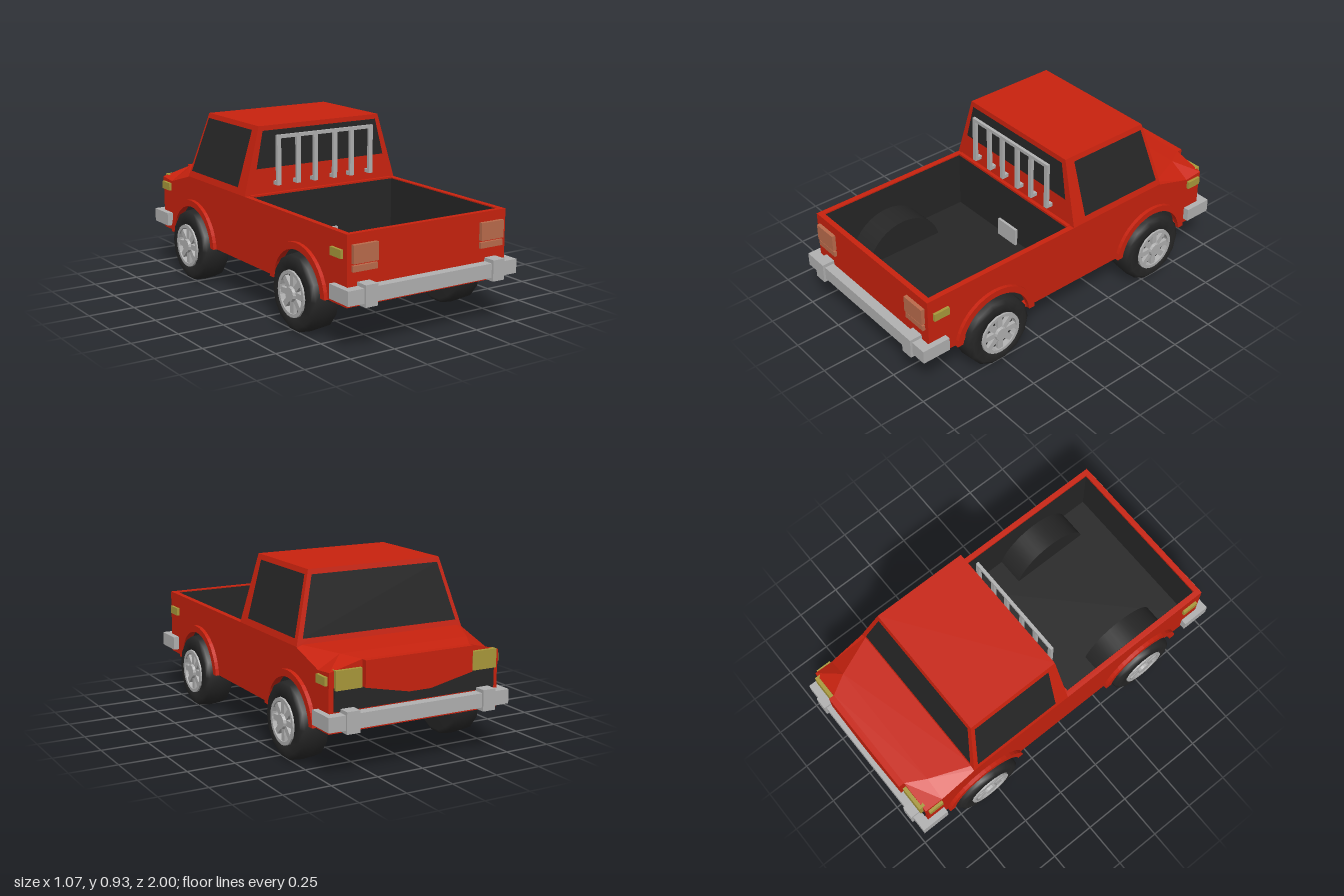
import * as THREE from 'three';

const mat = (color, extra = {}) => new THREE.MeshStandardMaterial({ color, ...extra });
const red = mat(0xc8220e, { flatShading: true });
const dark = mat(0x262626, { side: THREE.DoubleSide });
const rubber = mat(0x262626);
const grey = mat(0xb0b0b0, { flatShading: true });
const amber = mat(0xa8983a);
const tailRed = mat(0xba6b4c);

export function createModel() {
  const truck = new THREE.Group();

  const add = (name, geo, material, parent = truck) => {
    const m = new THREE.Mesh(geo, material);
    m.name = name;
    parent.add(m);
    return m;
  };
  // box given by its min / max on every axis
  const box = (name, x0, x1, y0, y1, z0, z1, material, parent) => {
    const g = new THREE.BoxGeometry(x1 - x0, y1 - y0, z1 - z0);
    g.translate((x0 + x1) / 2, (y0 + y1) / 2, (z0 + z1) / 2);
    return add(name, g, material, parent);
  };
  // closed solid through equal-length rings of [x, y, z]
  const loft = (rings) => {
    const n = rings[0].length, last = (rings.length - 1) * n, idx = [];
    for (let r = 0; r < rings.length - 1; r++)
      for (let i = 0; i < n; i++) {
        const a = r * n + i, b = r * n + (i + 1) % n;
        idx.push(a, b, b + n, a, b + n, a + n);
      }
    for (let i = 1; i < n - 1; i++) idx.push(0, i + 1, i, last, last + i, last + i + 1);
    const g = new THREE.BufferGeometry();
    g.setAttribute('position', new THREE.Float32BufferAttribute(rings.flat(2), 3));
    g.setIndex(idx);
    const flat = g.toNonIndexed();
    flat.computeVertexNormals();
    return flat;
  };
  // flat four-cornered panel
  const quad = (name, corners, material) => {
    const g = new THREE.BufferGeometry();
    g.setAttribute('position', new THREE.Float32BufferAttribute(corners.flat(), 3));
    g.setIndex([0, 1, 2, 0, 2, 3]);
    g.computeVertexNormals();
    return add(name, g, material);
  };
  // shape drawn in (z, y), extruded along x from x0
  const sideExtrude = (name, shape, x0, depth) => {
    const g = new THREE.ExtrudeGeometry(shape, { depth, bevelEnabled: false, curveSegments: 10 });
    g.rotateY(-Math.PI / 2); // shape x -> z, depth -> -x
    g.translate(x0 + depth, 0, 0);
    return add(name, g, red);
  };

  const AXLES = [0.525, -0.56], WY = 0.2, SILL = 0.225;
  const dip = Math.asin((SILL - WY) / 0.225);

  // body sides with wheel arches, and fender lips
  const side = new THREE.Shape();
  side.moveTo(0.93, SILL);
  side.lineTo(0.93, 0.575);
  side.lineTo(-0.62, 0.575);
  side.lineTo(-0.62, 0.45);
  side.lineTo(-0.93, 0.45);
  side.lineTo(-0.93, SILL);
  for (const z of [...AXLES].reverse()) side.absarc(z, WY, 0.225, Math.PI - dip, dip, true);
  side.closePath();
  for (const s of [-1, 1]) {
    sideExtrude('bodySide', side, s > 0 ? 0.445 : -0.475, 0.03);
    for (const z of AXLES) {
      const lip = new THREE.Shape();
      lip.absarc(z, WY, 0.25, 0.1, Math.PI - 0.1, false);
      lip.absarc(z, WY, 0.215, Math.PI - 0.115, 0.115, true);
      lip.closePath();
      sideExtrude('fenderLip', lip, s > 0 ? 0.465 : -0.495, 0.03);

      // wheel housing
      const well = new THREE.CylinderGeometry(0.235, 0.235, 0.155, 20, 1, false, 0, Math.PI);
      well.rotateZ(Math.PI / 2);
      well.translate(s * 0.368, WY, z);
      add('wheelHousing', well, dark);
    }
  }
  box('underbody', -0.474, 0.474, SILL, 0.25, -0.93, 0.93, red);
  box('tailgate', -0.475, 0.475, SILL, 0.575, 0.9, 0.93, red);
  box('frontPanel', -0.475, 0.475, SILL, 0.45, -0.93, -0.9, red);
  box('bulkhead', -0.445, 0.445, 0.25, 0.579, -0.02, 0.02, red);

  // bed lining
  const bx = 0.443, by0 = 0.255, by1 = 0.57, bz0 = 0.023, bz1 = 0.897;
  quad('bedFloor', [[-bx, by0, bz1], [bx, by0, bz1], [bx, by0, bz0], [-bx, by0, bz0]], dark);
  for (const z of [bz0, bz1])
    quad('bedEndLining', [[-bx, by0, z], [bx, by0, z], [bx, by1, z], [-bx, by1, z]], dark);
  for (const x of [-bx, bx])
    quad('bedSideLining', [[x, by0, bz0], [x, by0, bz1], [x, by1, bz1], [x, by1, bz0]], dark);
  box('bedPlate', -0.075, 0.07, 0.255, 0.355, 0.035, 0.05, grey);

  // cab
  const ring = (y, x, z0, z1) => [[-x, y, z1], [x, y, z1], [x, y, z0], [-x, y, z0]];
  add('cab', loft([ring(0.575, 0.475, -0.62, 0), ring(0.93, 0.375, -0.55, -0.02)]), red);
  const t = (y) => (y - 0.575) / 0.355;
  const xs = (y) => 0.475 - 0.1 * t(y) + 0.004;
  const zr = (y) => -0.02 * t(y) + 0.004;
  const zf = (y) => -0.62 + 0.07 * t(y) - 0.004;
  quad('rearWindow', [[-0.4, 0.71, zr(0.71)], [0.4, 0.71, zr(0.71)],
    [0.355, 0.905, zr(0.905)], [-0.355, 0.905, zr(0.905)]], dark);
  quad('windshield', [[0.44, 0.61, zf(0.61)], [-0.44, 0.61, zf(0.61)],
    [-0.36, 0.905, zf(0.905)], [0.36, 0.905, zf(0.905)]], dark);
  for (const s of [-1, 1])
    quad('sideWindow', [[s * xs(0.61), 0.61, -0.08], [s * xs(0.61), 0.61, -0.59],
      [s * xs(0.905), 0.905, -0.535], [s * xs(0.905), 0.905, -0.07]], dark);

  // hood with sloping flanks, nose and grille
  const hood = (z, flank, h, top) => [[0.475, 0.445, z], [-0.475, 0.445, z], [-0.475, flank, z],
    [-h, top, z], [h, top, z], [0.475, flank, z]];
  add('hood', loft([hood(-0.61, 0.575, 0.45, 0.582), hood(-0.83, 0.51, 0.36, 0.575),
    hood(-0.935, 0.52, 0.3, 0.565)]), red);
  const nose = new THREE.Shape([[-0.3, 0.565], [-0.3, 0.435], [-0.06, 0.385], [0.06, 0.385],
    [0.3, 0.435], [0.3, 0.565]].map((p) => new THREE.Vector2(...p)));
  const noseGeo = new THREE.ExtrudeGeometry(nose, { depth: 0.035, bevelEnabled: false });
  noseGeo.translate(0, 0, -0.967);
  add('nose', noseGeo, red);
  box('grille', -0.45, 0.45, 0.33, 0.445, -0.938, -0.92, dark);

  // lights
  for (const s of [-1, 1]) {
    const lamp = (name, a, b, ...rest) => box(name, Math.min(s * a, s * b), Math.max(s * a, s * b), ...rest);
    lamp('headlight', 0.31, 0.45, 0.435, 0.53, -0.955, -0.92, amber);
    lamp('tailLight', 0.31, 0.45, 0.435, 0.525, 0.92, 0.95, tailRed);
    lamp('reverseLight', 0.31, 0.45, 0.395, 0.425, 0.92, 0.945, tailRed);
    lamp('rearMarker', 0.46, 0.49, 0.455, 0.497, 0.81, 0.9, amber);
    lamp('frontMarker', 0.46, 0.49, 0.455, 0.497, -0.92, -0.835, amber);
  }

  // bumpers with wrapped ends and upright guards
  for (const s of [-1, 1]) {
    const bumper = new THREE.Group();
    bumper.name = s > 0 ? 'rearBumper' : 'frontBumper';
    box('bar', -0.507, 0.507, 0.252, 0.325, 0.935, 0.988, grey, bumper);
    for (const k of [-1, 1]) {
      box('wrap', k * 0.491 - 0.016, k * 0.491 + 0.016, 0.252, 0.325, 0.83, 0.94, grey, bumper);
      box('guard', k * 0.382 - 0.035, k * 0.382 + 0.035, 0.235, 0.343, 0.925, 1, grey, bumper);
    }
    if (s < 0) bumper.rotation.y = Math.PI;
    truck.add(bumper);
  }

  // window guard rack behind the cab
  const rack = new THREE.Group();
  rack.name = 'windowGuard';
  for (const x of [-0.287, -0.167, -0.06, 0.062, 0.17, 0.293]) {
    box('rackBar', x - 0.012, x + 0.012, 0.62, 0.87, 0.02, 0.037, grey, rack);
    box('rackFoot', x - 0.012, x + 0.012, 0.62, 0.64, -0.01, 0.03, grey, rack);
  }
  box('rackTop', -0.299, 0.305, 0.866, 0.884, 0.02, 0.037, grey, rack);
  truck.add(rack);

  // wheels: lathed tyre, rim ring, eight spokes and hub
  const tyre = new THREE.LatheGeometry([[0, -0.08], [0.172, -0.08], [0.192, -0.065], [0.198, 0],
    [0.192, 0.065], [0.172, 0.08], [0.122, 0.08], [0.115, 0.055], [0, 0.055]]
    .map((p) => new THREE.Vector2(...p)), 14);
  const rim = new THREE.LatheGeometry([[0.1, 0.055], [0.122, 0.055], [0.118, 0.088], [0.1, 0.088], [0.1, 0.055]]
    .map((p) => new THREE.Vector2(...p)), 24);
  const hub = new THREE.CylinderGeometry(0.036, 0.044, 0.042, 14).translate(0, 0.075, 0);
  for (const s of [-1, 1])
    for (const z of AXLES) {
      const wheel = new THREE.Group();
      wheel.name = z > 0 ? 'rearWheel' : 'frontWheel';
      add('tyre', tyre, rubber, wheel);
      add('rim', rim, grey, wheel);
      add('hub', hub, grey, wheel);
      for (let i = 0; i < 8; i++) {
        const spoke = new THREE.BoxGeometry(0.075, 0.022, 0.03).translate(0.07, 0.07, 0);
        add('spoke', spoke.rotateY(i * Math.PI / 4), grey, wheel);
      }
      wheel.rotation.z = -s * Math.PI / 2;
      wheel.position.set(s * 0.44, 0.198, z);
      truck.add(wheel);
    }
  return truck;
}
